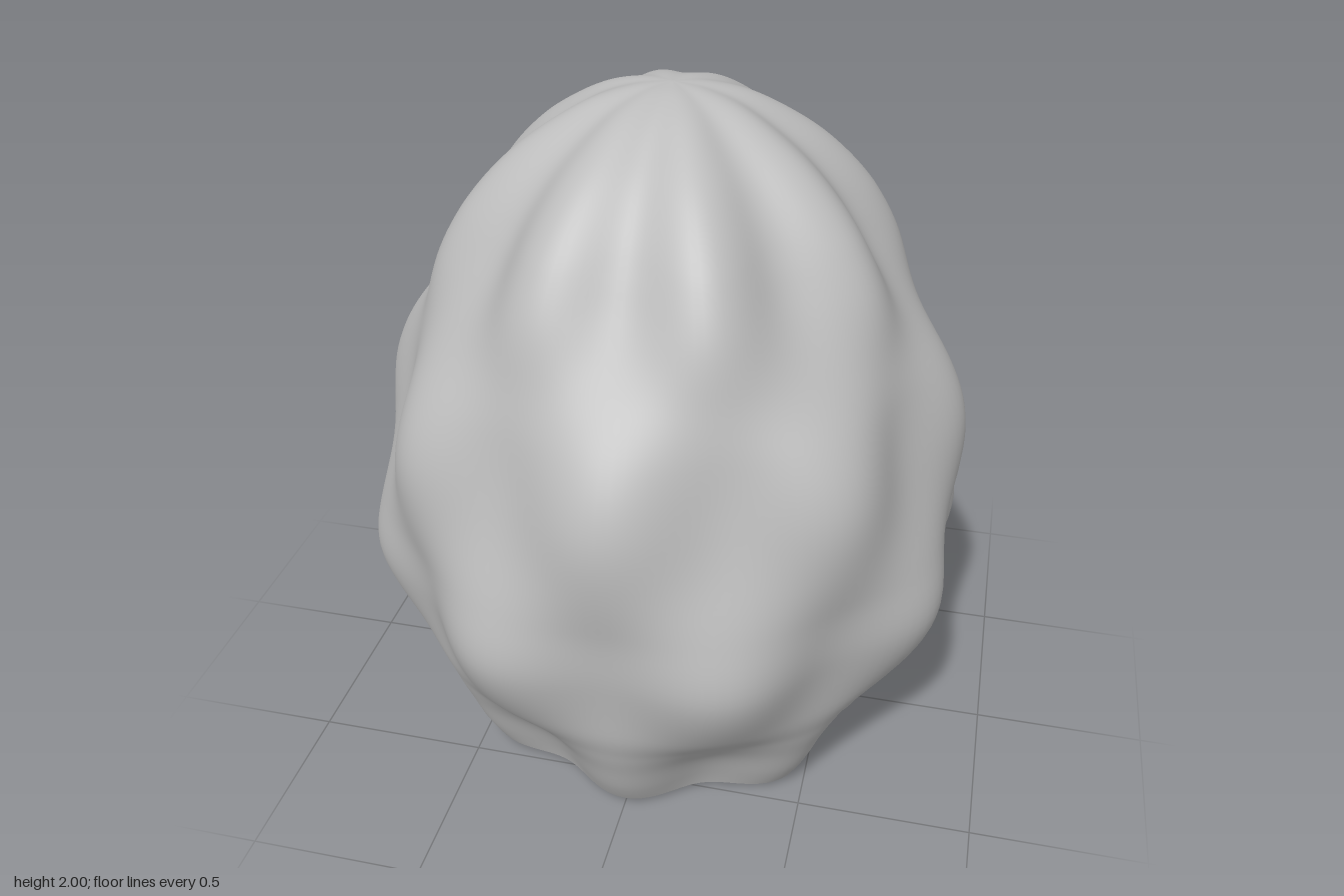
import * as THREE from 'three';
import { mergeVertices } from 'three/addons/utils/BufferGeometryUtils.js';

const SEGMENTS = 160;
const LOBES = 8;
const ROW_CENTRE = 1.13; // height of the row with a bump facing the front
const ROW_PERIOD = 1.01; // height after which a row of bumps repeats

// Smooth silhouette, foot to crown: [radius, height]
const PROFILE = [
  [0.585, 0.025], [0.62, 0.1], [0.665, 0.2], [0.722, 0.3], [0.788, 0.42], [0.848, 0.62],
  [0.845, 0.8], [0.83, 0.95], [0.8, 1.12], [0.75, 1.27], [0.672, 1.42], [0.595, 1.57],
  [0.515, 1.7], [0.43, 1.8], [0.335, 1.88], [0.21, 1.955], [0.1, 1.99], [0, 2],
];

// Staggered rows of lobes; the top row runs up to the crown as ridges
function bump(radius, y, angle) {
  const top = ROW_CENTRE + ROW_PERIOD / 2;
  const row = Math.cos((2 * Math.PI * (Math.min(y, top) - ROW_CENTRE)) / ROW_PERIOD);
  return Math.min(0.042, radius * 0.08) * row * Math.cos(LOBES * angle);
}

// Turned surface pushed in and out by the bump rule, welded at the seam
function bumpyLathe(points) {
  let geometry = new THREE.LatheGeometry(points, SEGMENTS);
  const p = geometry.attributes.position;
  for (let i = 0; i < p.count; i++) {
    const x = p.getX(i), y = p.getY(i), z = p.getZ(i);
    const r = Math.hypot(x, z);
    if (r < 1e-5) continue;
    const k = 1 + bump(r, y, Math.atan2(x, z)) / r;
    p.setXYZ(i, x * k, y, z * k);
  }
  geometry.deleteAttribute('normal');
  geometry.deleteAttribute('uv');
  geometry = mergeVertices(geometry, 1e-5);
  geometry.computeVertexNormals();
  return geometry;
}

export function createModel() {
  const group = new THREE.Group();
  group.name = 'bumpyRock';
  const stone = new THREE.MeshStandardMaterial({ color: 0xbcbcbc });
  stone.name = 'stone grey';

  // Lobed body
  const curve = new THREE.SplineCurve(PROFILE.map(([r, y]) => new THREE.Vector2(r, y)));
  const points = curve.getPoints(110);
  points[points.length - 1].set(0, 2);
  const body = new THREE.Mesh(bumpyLathe(points), stone);
  body.name = 'body';

  // Flat underside with a slight bevel
  const foot = [[0, 0], [0.25, 0], [0.5, 0.004], [0.55, 0.012], [0.585, 0.025]];
  const base = new THREE.Mesh(bumpyLathe(foot.map(([r, y]) => new THREE.Vector2(r, y))), stone);
  base.name = 'base';

  group.add(body, base);
  return group;
}
